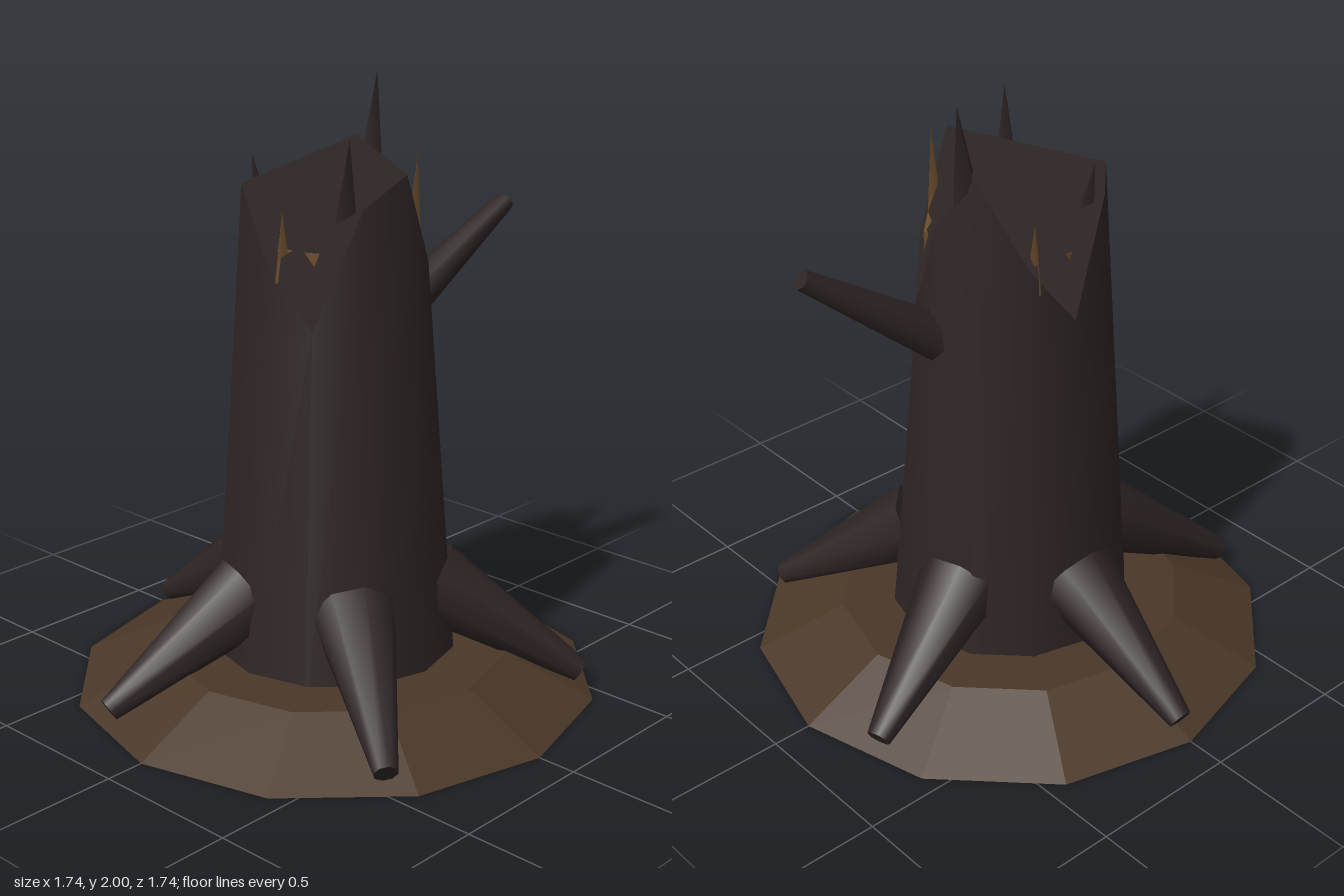
import * as THREE from 'three';

const bark = new THREE.MeshStandardMaterial({ name: 'darkBark', color: 0x2e2424 });
const soil = new THREE.MeshStandardMaterial({ name: 'soil', color: 0x4a3828, flatShading: true });
const wood = new THREE.MeshStandardMaterial({ name: 'brokenWood', color: 0x6b4c2c });

const UP = new THREE.Vector3(0, 1, 0);
const SIDES = 12;
const RIM_RADIUS = 0.3;
// Rim heights every 30 degrees, from the front (+z) round towards +x
const RIM = [1.75, 1.45, 1.28, 1.6, 1.78, 1.5, 1.3, 1.66, 1.7, 1.47, 1.28, 1.66];

function addMesh(group, name, geometry, material) {
  const mesh = new THREE.Mesh(geometry, material);
  mesh.name = name;
  group.add(mesh);
  return mesh;
}

// Tapered cylinder or cone running from one point to another
function addTaper(group, name, from, to, r0, r1, sides, material) {
  const a = new THREE.Vector3(...from);
  const b = new THREE.Vector3(...to);
  const dir = b.clone().sub(a);
  const mesh = addMesh(group, name, new THREE.CylinderGeometry(r1, r0, dir.length(), sides), material);
  mesh.position.copy(a).add(b).multiplyScalar(0.5);
  mesh.quaternion.setFromUnitVectors(UP, dir.normalize());
  return mesh;
}

function trunkSide() {
  const bottom = 0.05;
  const geo = new THREE.CylinderGeometry(RIM_RADIUS, 0.41, 1, SIDES, 1, true);
  const pos = geo.attributes.position;
  for (let i = 0; i < pos.count; i++) {
    pos.setY(i, pos.getY(i) > 0 ? RIM[i % (SIDES + 1) % SIDES] : bottom);
  }
  return geo;
}

// Broken top: one large triangle between the peaks, three dips beside it
function trunkTop() {
  const points = [];
  const normals = [];
  RIM.forEach((y, i) => {
    const a = (i / SIDES) * Math.PI * 2;
    points.push(Math.sin(a) * RIM_RADIUS, y, Math.cos(a) * RIM_RADIUS);
    normals.push(0, 1, 0);
  });
  const index = [0, 4, 8];
  for (let p = 0; p < SIDES; p += 4) {
    const end = (p + 4) % SIDES;
    index.push(p, p + 1, end, p + 1, p + 3, end, p + 1, p + 2, p + 3);
  }
  const geo = new THREE.BufferGeometry();
  geo.setAttribute('position', new THREE.Float32BufferAttribute(points, 3));
  geo.setAttribute('normal', new THREE.Float32BufferAttribute(normals, 3));
  geo.setIndex(index);
  return geo;
}

export function createModel() {
  const model = new THREE.Group();
  model.name = 'brokenStump';

  // Low mound of earth
  addMesh(model, 'mound', new THREE.CylinderGeometry(0.58, 0.87, 0.14, SIDES), soil).position.y = 0.07;

  // Trunk with a jagged rim, and the pale core showing in the dips
  addMesh(model, 'trunk', trunkSide(), bark);
  addMesh(model, 'trunkTop', trunkTop(), bark);
  addMesh(model, 'core', new THREE.CylinderGeometry(0.272, 0.272, 0.3, SIDES), wood).position.y = 1.37;

  // Five roots spreading over the mound
  for (let i = 0; i < 5; i++) {
    const a = Math.PI + (i / 5) * Math.PI * 2;
    const at = (r, y) => [Math.sin(a) * r, y, Math.cos(a) * r];
    addTaper(model, 'root' + (i + 1), at(0.32, 0.36), at(0.82, 0.06), 0.14, 0.04, 8, bark);
  }

  // Broken branch
  addTaper(model, 'branch', [0.26, 1.2, 0.01], [0.72, 1.53, 0.11], 0.08, 0.033, 7, bark);

  // Dark splinters: base, tip, radius
  [
    [[0.22, 1.68, -0.05], [0.26, 2.0, -0.06], 0.052],
    [[-0.14, 1.6, 0.18], [-0.17, 1.87, 0.22], 0.045],
    [[-0.11, 1.55, -0.21], [-0.13, 1.76, -0.235], 0.045],
  ].forEach(([from, to, r], i) => addTaper(model, 'barkSplinter' + (i + 1), from, to, r, 0, 4, bark));

  // Pale splinters beside the dips
  [
    [[0.105, 1.46, 0.235], [0.11, 1.79, 0.245], 0.036],
    [[-0.262, 1.42, 0.03], [-0.265, 1.64, 0.03], 0.035],
    [[0.12, 1.42, -0.24], [0.12, 1.64, -0.245], 0.035],
  ].forEach(([from, to, r], i) => addTaper(model, 'woodSplinter' + (i + 1), from, to, r, 0, 4, wood));

  return model;
}
